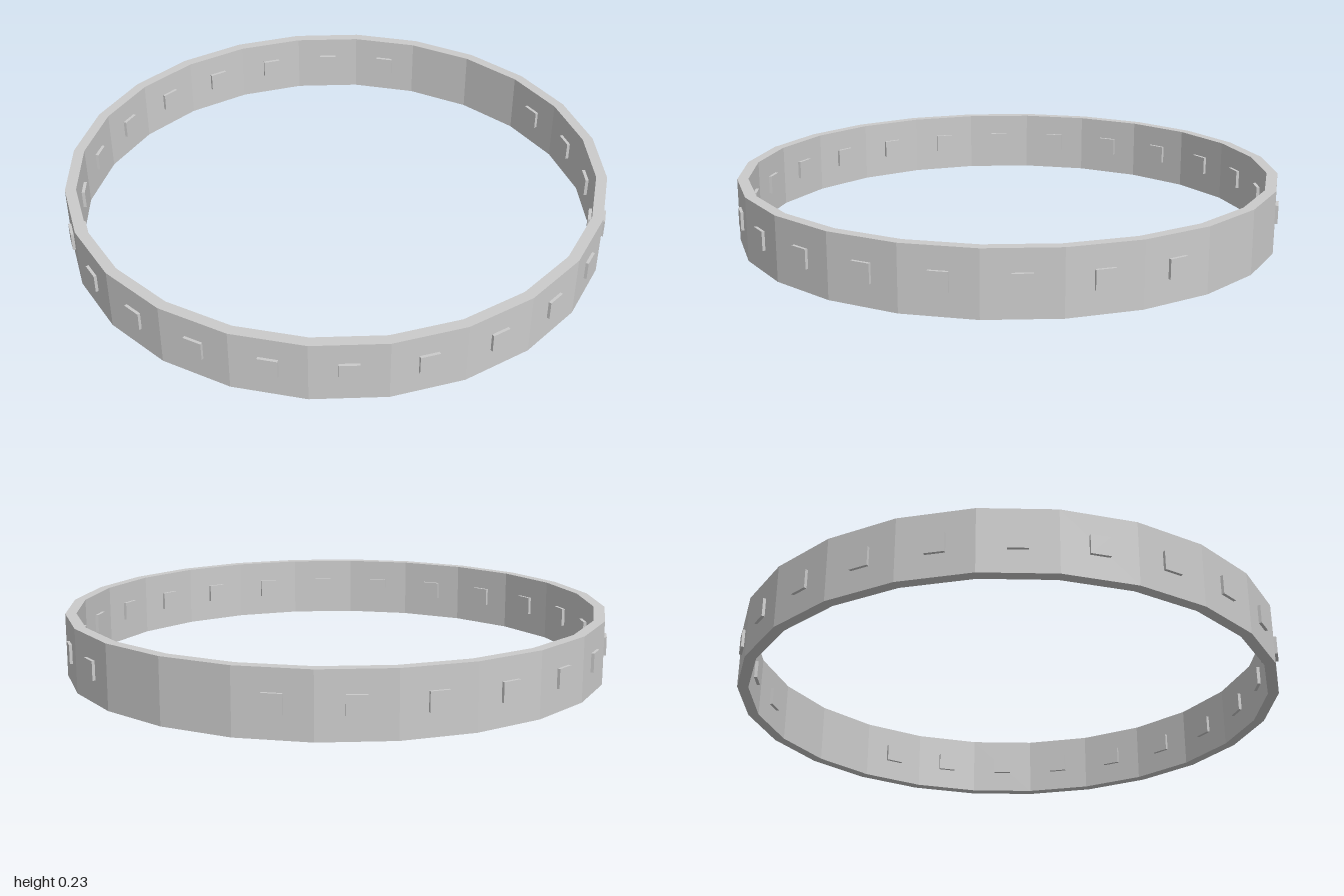
import * as THREE from 'three';

const SIDES = 24;
const OUTER = 1, INNER = 0.96, HEIGHT = 0.23;

export function createModel() {
  const model = new THREE.Group();
  model.name = 'studdedBand';
  const material = new THREE.MeshStandardMaterial({ color: 0xcccccc, flatShading: true });

  // Faceted band: closed rectangular section turned around y
  const section = [
    [INNER, 0], [OUTER, 0], [OUTER, HEIGHT], [INNER, HEIGHT], [INNER, 0],
  ].map(([r, y]) => new THREE.Vector2(r, y));
  const band = new THREE.Mesh(new THREE.LatheGeometry(section, SIDES), material);
  band.name = 'band';
  model.add(band);

  // Square studs pass through the middle of each facet; two facets stay plain
  const plainFacets = [7, 8];
  const studOuter = 1.002, studInner = 0.94;
  const studGeometry = new THREE.BoxGeometry(0.068, 0.068, studOuter - studInner);
  const studs = new THREE.Group();
  studs.name = 'studs';
  for (let i = 0; i < SIDES; i++) {
    if (plainFacets.includes(i)) continue;
    const angle = ((i + 0.5) / SIDES) * Math.PI * 2;
    const radius = (studOuter + studInner) / 2;
    const stud = new THREE.Mesh(studGeometry, material);
    stud.name = 'stud';
    stud.position.set(Math.sin(angle) * radius, 0.117, Math.cos(angle) * radius);
    stud.rotation.y = angle;
    studs.add(stud);
  }
  model.add(studs);
  return model;
}
